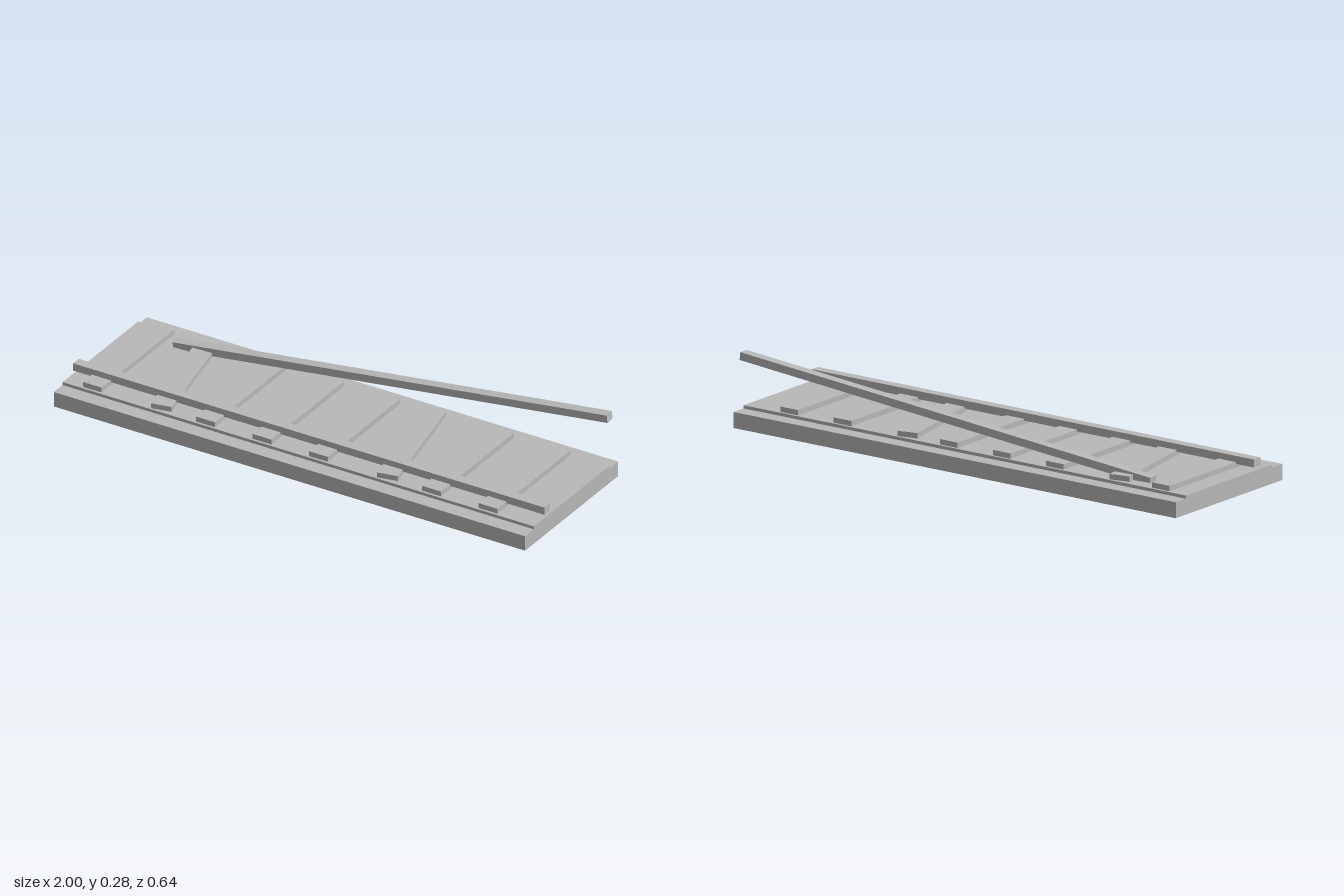
import * as THREE from 'three';

export function createModel() {
  const group = new THREE.Group();
  const grey = new THREE.MeshStandardMaterial({ color: 0xb8b8b8 });
  grey.name = 'plain grey';

  function addPart(name, geometry, position, rotation = [0, 0, 0]) {
    const mesh = new THREE.Mesh(geometry, grey);
    mesh.name = name;
    mesh.position.set(...position);
    mesh.rotation.set(...rotation);
    group.add(mesh);
    return mesh;
  }

  // Stepped track bed: a wide slab with a thin raised ballast layer
  const profile = new THREE.Shape([
    [-0.32, 0], [0.32, 0], [0.32, 0.06], [0.26, 0.06],
    [0.26, 0.072], [-0.26, 0.072], [-0.26, 0.06], [-0.32, 0.06],
  ].map(([z, y]) => new THREE.Vector2(z, y)));
  const bed = new THREE.ExtrudeGeometry(profile, { depth: 2, bevelEnabled: false });
  bed.translate(0, 0, -1);
  bed.rotateY(Math.PI / 2);
  addPart('trackBed', bed, [0, 0, 0]);

  // Sleepers, evenly spaced, with two knocked askew
  const sleeper = new THREE.BoxGeometry(0.08, 0.02, 0.5);
  for (let i = 0; i < 8; i++) {
    const askew = i === 1 || i === 5;
    addPart(askew ? 'askewSleeper' : 'sleeper', sleeper,
      [-0.88 + i * 0.24, 0.082, 0], [0, askew ? 0.2 : 0, 0]);
  }

  // Intact rail along the front
  addPart('intactRail', new THREE.BoxGeometry(2, 0.03, 0.039), [0, 0.1, 0.168]);

  // Loose rail, lifted and swung outward at its left end
  addPart('liftedRail', new THREE.BoxGeometry(1.8, 0.03, 0.039),
    [0.098, 0.171, -0.23], [0, 0.049, 0.105]);

  return group;
}
